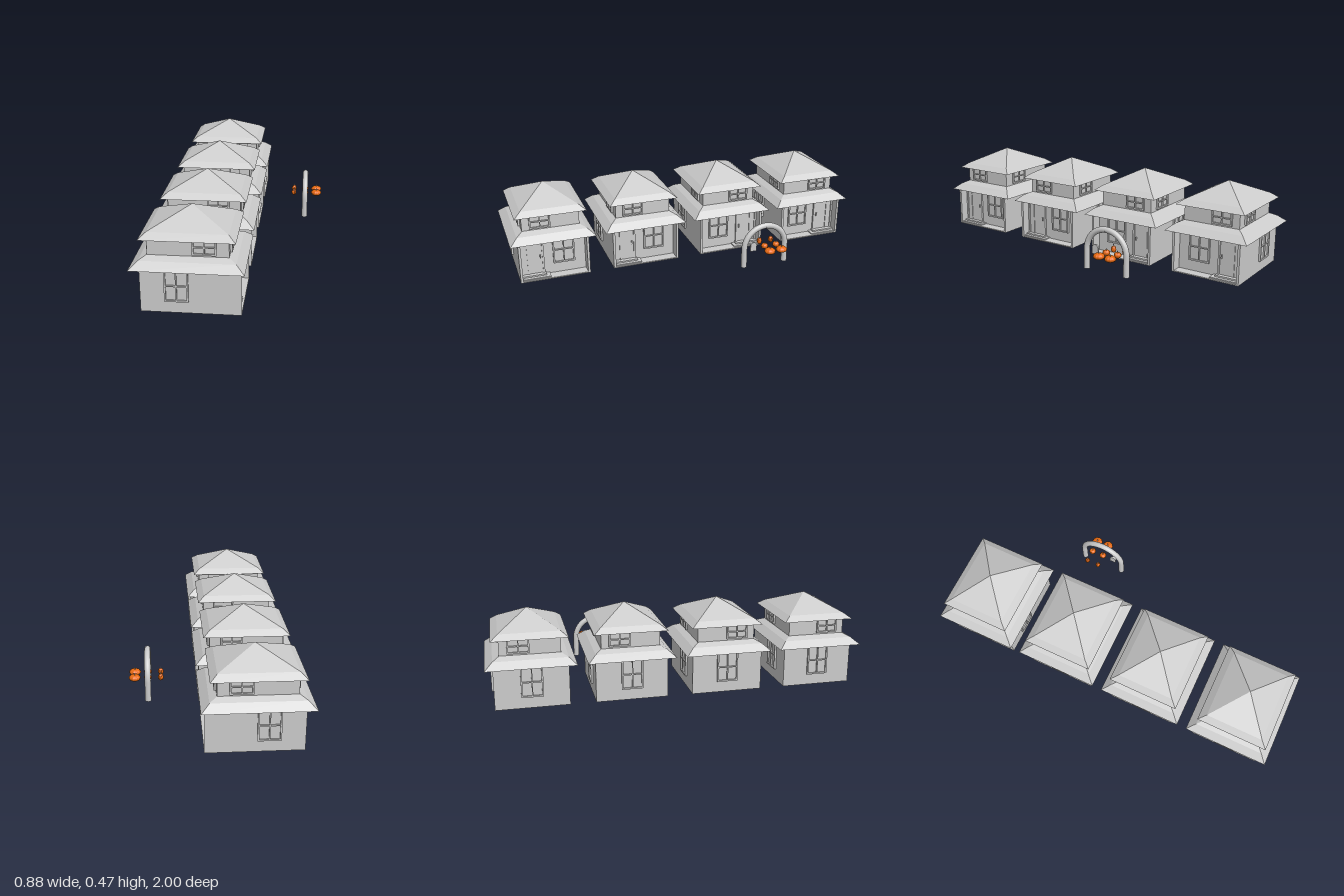
import * as THREE from 'three';

const grey = new THREE.MeshStandardMaterial({ color: 0xcccccc, side: THREE.DoubleSide });
const flatGrey = new THREE.MeshStandardMaterial({ color: 0xcccccc, flatShading: true });
const orange = new THREE.MeshStandardMaterial({ color: 0xe86a10 });

function add(parent, name, geometry, material = grey, x = 0, y = 0, z = 0) {
  const mesh = new THREE.Mesh(geometry, material);
  mesh.name = name;
  mesh.position.set(x, y, z);
  parent.add(mesh);
  return mesh;
}

// Box given by its minimum and maximum corners
function block(parent, name, [x0, y0, z0], [x1, y1, z1], material = grey) {
  const geo = new THREE.BoxGeometry(x1 - x0, y1 - y0, Math.abs(z1 - z0));
  return add(parent, name, geo, material, (x0 + x1) / 2, (y0 + y1) / 2, (z0 + z1) / 2);
}

// Hipped roof from rectangular rings [halfX, halfZ, y], closed underneath
function hipRoof(rings) {
  const pos = [];
  const corner = ([hx, hz, y], i) => [[hx, y, hz], [hx, y, -hz], [-hx, y, -hz], [-hx, y, hz]][i % 4];
  const quad = (a, b, c, d) => pos.push(...a, ...b, ...c, ...a, ...c, ...d);
  for (let r = 0; r < rings.length - 1; r++) {
    for (let i = 0; i < 4; i++) {
      quad(corner(rings[r], i), corner(rings[r], i + 1), corner(rings[r + 1], i + 1), corner(rings[r + 1], i));
    }
  }
  quad(...[3, 2, 1, 0].map(i => corner(rings[0], i)));
  const geo = new THREE.BufferGeometry();
  geo.setAttribute('position', new THREE.Float32BufferAttribute(pos, 3));
  geo.computeVertexNormals();
  return geo;
}

// Four-pane window facing local +z, its back on the wall
function addWindow(parent, name, w, h, x, y, z, turn) {
  const g = new THREE.Group();
  g.name = name;
  g.position.set(x, y, z);
  g.rotation.y = turn;
  const t = 0.008, s = 0.003, d = 0.011;
  const shape = new THREE.Shape([[-w, -h], [w, -h], [w, h], [-w, h]].map(([a, b]) => new THREE.Vector2(a / 2, b / 2)));
  for (const sx of [-1, 1]) for (const sy of [-1, 1]) {
    const xs = [s * sx, (w / 2 - t) * sx], ys = [s * sy, (h / 2 - t) * sy];
    shape.holes.push(new THREE.Path([[0, 0], [0, 1], [1, 1], [1, 0]].map(([i, j]) => new THREE.Vector2(xs[i], ys[j]))));
  }
  add(g, 'windowFrame', new THREE.ExtrudeGeometry(shape, { depth: d, bevelEnabled: false }));
  block(g, 'windowPane', [-w / 2 + t, -h / 2 + t, 0], [w / 2 - t, h / 2 - t, 0.003]);
  parent.add(g);
}

// House; m = 1 puts the door toward +z, m = -1 mirrors the layout
function house(z, m) {
  const g = new THREE.Group();
  g.name = 'house';
  g.position.set(-0.173, 0, z);

  block(g, 'groundFloor', [-0.223, 0, -0.19], [0.19, 0.224, 0.19]);
  block(g, 'porchFloor', [0.19, 0, -0.19], [0.25, 0.006, 0.19]);
  for (const s of [-1, 1]) block(g, 'porchSideWall', [0.19, 0, s * 0.19], [0.25, 0.224, s * 0.177]);
  block(g, 'upperFloor', [-0.19, 0.26, -0.155], [0.19, 0.362, 0.155]);
  add(g, 'lowerRoof', hipRoof([[0.267, 0.23, 0.223], [0.226, 0.189, 0.258], [0.185, 0.149, 0.278]]), flatGrey);
  add(g, 'upperRoof', hipRoof([[0.224, 0.193, 0.36], [0.189, 0.156, 0.388], [0, 0, 0.472]]), flatGrey);

  // Windows: two on each end, then back and front
  const q = Math.PI / 2;
  for (const s of [-1, 1]) {
    const turn = s > 0 ? 0 : Math.PI;
    addWindow(g, 'endWindow', 0.113, 0.16, -0.052, 0.14, s * 0.19, turn);
    addWindow(g, 'upperEndWindow', 0.113, 0.077, 0.076, 0.323, s * 0.155, turn);
    addWindow(g, 'upperSideWindow', 0.113, 0.077, s * 0.19, 0.323, m * 0.059, s * q);
  }
  addWindow(g, 'backWindow', 0.113, 0.16, -0.223, 0.14, 0, -q);
  addWindow(g, 'porchWindow', 0.118, 0.156, 0.19, 0.142, -m * 0.059, q);

  // Door with frame, panels, handle and steps
  block(g, 'door', [0.19, 0.006, m * 0.06], [0.195, 0.21, m * 0.167]);
  for (const [a, b] of [[0.05, 0.06], [0.167, 0.177]]) block(g, 'doorJamb', [0.19, 0.006, m * a], [0.201, 0.22, m * b]);
  block(g, 'doorLintel', [0.19, 0.21, m * 0.05], [0.201, 0.22, m * 0.177]);
  block(g, 'sidelightPost', [0.19, 0.006, m * 0.135], [0.199, 0.21, m * 0.141]);
  block(g, 'doorHandle', [0.195, 0.108, m * 0.067], [0.203, 0.128, m * 0.073]);
  block(g, 'lowerStep', [0.19, 0.006, m * 0.025], [0.24, 0.012, m * 0.177]);
  block(g, 'upperStep', [0.19, 0.012, m * 0.045], [0.22, 0.02, m * 0.177]);
  return g;
}

// Ribbed pumpkin with a curved stem
function pumpkin(r, h, x, z) {
  const g = new THREE.Group();
  g.name = 'pumpkin';
  g.position.set(x, 0.13, z);
  const geo = new THREE.SphereGeometry(1, 40, 16);
  const p = geo.attributes.position;
  for (let i = 0; i < p.count; i++) {
    const px = p.getX(i), pz = p.getZ(i), rad = Math.hypot(px, pz);
    const k = r * (0.95 + 0.05 * Math.cos(10 * Math.atan2(pz, px)));
    const dip = 1 - 0.25 * Math.max(0, 1 - rad * 2.5);
    p.setXYZ(i, px * k, p.getY(i) * h * dip, pz * k);
  }
  geo.computeVertexNormals();
  add(g, 'pumpkinBody', geo, orange);
  const stem = new THREE.QuadraticBezierCurve3(
    new THREE.Vector3(0, h * 0.7, 0), new THREE.Vector3(0, h + 0.004, 0), new THREE.Vector3(0.003, h + 0.008, 0));
  add(g, 'pumpkinStem', new THREE.TubeGeometry(stem, 5, 0.002, 6), grey);
  return g;
}

export function createModel() {
  const model = new THREE.Group();
  model.name = 'houseRow';
  [-0.77, -0.257, 0.257, 0.77].forEach((z, i) => model.add(house(z, i < 2 ? -1 : 1)));

  // Garden arch: two legs joined by a half ring
  const arch = new THREE.Group();
  arch.name = 'gardenArch';
  arch.position.set(0.34, 0, -0.343);
  const R = 0.122, spring = 0.13, tube = 0.016;
  for (const s of [-1, 1]) {
    add(arch, 'archLeg', new THREE.CylinderGeometry(tube, tube, spring - 0.022, 16), grey, 0, (spring + 0.022) / 2, s * R);
  }
  add(arch, 'archTop', new THREE.TorusGeometry(R, tube, 16, 32, Math.PI), grey, 0, spring, 0).rotation.y = Math.PI / 2;
  add(arch, 'archOrnament', new THREE.OctahedronGeometry(0.018), flatGrey, 0, 0.25, 0).scale.y = 0.7;
  model.add(arch);

  // Round-topped stone slab beside the leg
  const slab = new THREE.Shape();
  slab.moveTo(-0.018, 0);
  slab.lineTo(0.018, 0);
  slab.lineTo(0.018, 0.034);
  slab.absarc(0, 0.034, 0.018, 0, Math.PI, false);
  slab.closePath();
  const slabGeo = new THREE.ExtrudeGeometry(slab, { depth: 0.01, bevelEnabled: false, curveSegments: 10 });
  add(model, 'stoneSlab', slabGeo, grey, 0.335, 0.11, -0.275).rotation.y = Math.PI / 2;

  // Pumpkins in three sizes, two of each
  for (const z of [-0.343, -0.412]) {
    model.add(pumpkin(0.014, 0.019, 0.272, z));
    model.add(pumpkin(0.02, 0.016, 0.34, z));
    model.add(pumpkin(0.031, 0.018, 0.408, z));
  }
  return model;
}
